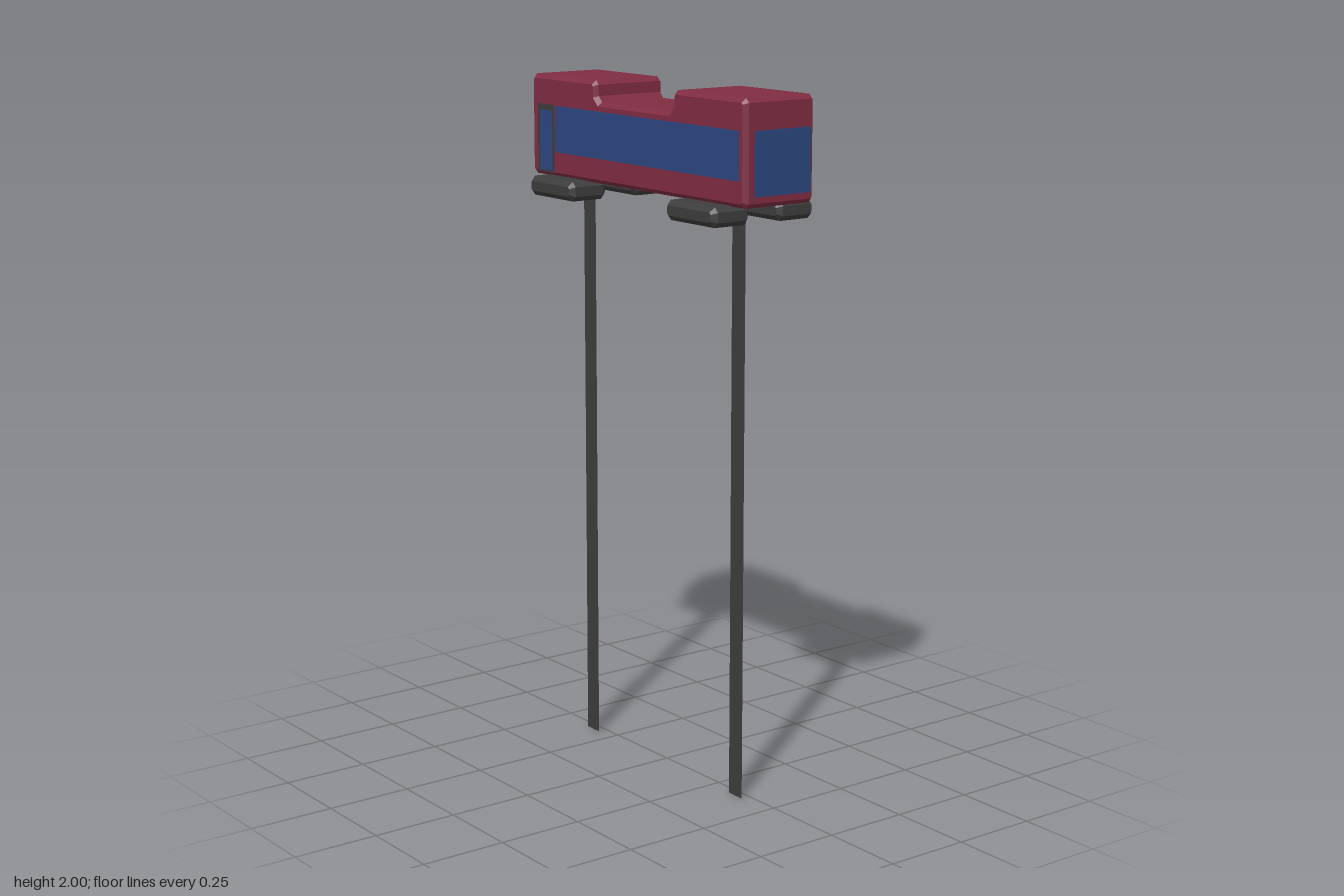
import * as THREE from 'three';

const maroon = new THREE.MeshStandardMaterial({ color: 0x802d42 });
maroon.name = 'maroon';
const blue = new THREE.MeshStandardMaterial({ color: 0x2d4680 });
blue.name = 'window blue';
const charcoal = new THREE.MeshStandardMaterial({ color: 0x3d3d3d, side: THREE.DoubleSide });
charcoal.name = 'charcoal';

function add(parent, name, geometry, material, x = 0, y = 0, z = 0) {
  const mesh = new THREE.Mesh(geometry, material);
  mesh.name = name;
  mesh.position.set(x, y, z);
  parent.add(mesh);
  return mesh;
}

// Side profile extruded along z, with chamfered end faces
function chamferedBlock(points, depth, chamfer) {
  const shape = new THREE.Shape(points.map(([x, y]) => new THREE.Vector2(x, y)));
  return new THREE.ExtrudeGeometry(shape, {
    depth: depth - 2 * chamfer,
    bevelEnabled: true,
    bevelSegments: 1,
    bevelThickness: chamfer,
    bevelSize: chamfer,
    bevelOffset: -chamfer,
  }).translate(0, 0, chamfer - depth / 2);
}

// Thin plate spanning two ranges on a front/back face or on an end face
function sidePlate(parent, name, material, [x0, x1], [y0, y1], z, thickness) {
  add(parent, name, new THREE.BoxGeometry(x1 - x0, y1 - y0, thickness), material,
    (x0 + x1) / 2, (y0 + y1) / 2, z);
}
function endPlate(parent, name, [z0, z1], [y0, y1], x) {
  add(parent, name, new THREE.BoxGeometry(0.006, y1 - y0, z1 - z0), blue,
    x, (y0 + y1) / 2, (z0 + z1) / 2);
}

export function createModel() {
  const model = new THREE.Group();
  model.name = 'busOnPosts';

  // Body with a shallow notch in the roof
  const c = 0.012, bottom = 1.708, roof = 2, notch = 1.94;
  add(model, 'body', chamferedBlock([
    [-0.5 + c, bottom], [0.5 - c, bottom], [0.5, bottom + c],
    [0.5, roof - c], [0.5 - c, roof],
    [0.193, roof], [0.181, roof - c], [0.181, notch + 0.016], [0.165, notch],
    [-0.162, notch], [-0.178, notch + 0.016], [-0.178, roof - c], [-0.19, roof],
    [-0.5 + c, roof], [-0.5, roof - c], [-0.5, bottom + c],
  ], 0.24, c), maroon);

  // Long window and door on both sides
  for (const s of [1, -1]) {
    const side = new THREE.Group();
    side.name = s > 0 ? 'frontGlazing' : 'backGlazing';
    sidePlate(side, 'longWindow', blue, [-0.378, 0.474], [1.78, 1.914], s * 0.119, 0.006);
    sidePlate(side, 'doorFrame', charcoal, [-0.466, -0.385], [1.718, 1.916], s * 0.119, 0.006);
    sidePlate(side, 'doorPane', blue, [-0.453, -0.392], [1.724, 1.898], s * 0.12, 0.008);
    model.add(side);
  }

  // End windows
  endPlate(model, 'largeEndWindow', [-0.105, 0.088], [1.738, 1.914], 0.499);
  endPlate(model, 'smallEndWindow', [-0.088, 0.105], [1.79, 1.914], -0.499);

  // Four chamfered blocks under the corners
  const w = 0.11, h = 0.028, p = 0.014;
  const block = chamferedBlock([
    [-w + p, -h], [w - p, -h], [w, -h + p], [w, h - p],
    [w - p, h], [-w + p, h], [-w, h - p], [-w, -h + p],
  ], 0.126, p);
  for (const x of [-0.33, 0.328]) {
    for (const z of [-0.112, 0.112]) add(model, 'wheelBlock', block, charcoal, x, 1.682, z);
  }

  // Two flat posts
  for (const x of [-0.34, 0.36]) {
    add(model, 'post', new THREE.PlaneGeometry(0.058, 1.712), charcoal, x, 0.856, 0.027);
  }

  return model;
}
